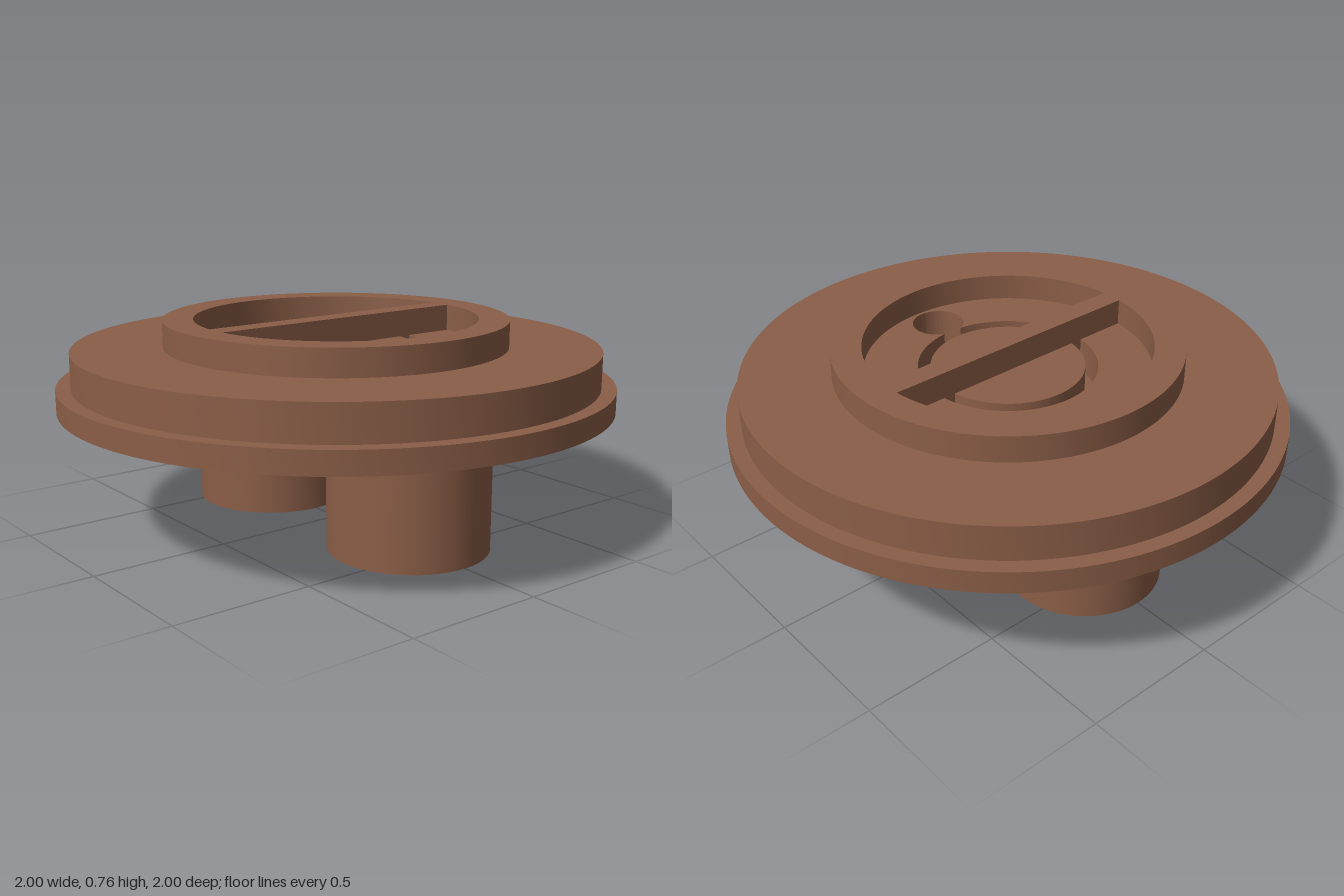
import * as THREE from 'three';
import { toCreasedNormals } from 'three/addons/utils/BufferGeometryUtils.js';

const LEG_X = 0.408, DRILL_X = 0.405, DRILL_R = 0.095, GROOVE_R = 0.32;

export function createModel() {
  const group = new THREE.Group();
  const brown = new THREE.MeshStandardMaterial({ color: 0x8b5e47 });
  brown.name = 'warm brown';

  const circle = (r, x = 0) => new THREE.Path().absarc(x, 0, r, 0, Math.PI * 2, false);

  // Upright slab from y0 to y1: a disc with optional holes
  function slab(name, r, y0, y1, holes = [], x = 0) {
    const shape = new THREE.Shape().absarc(0, 0, r, 0, Math.PI * 2, false);
    shape.holes.push(...holes);
    const extruded = new THREE.ExtrudeGeometry(shape, { depth: y1 - y0, bevelEnabled: false, curveSegments: 64 });
    extruded.rotateX(-Math.PI / 2);
    const mesh = new THREE.Mesh(toCreasedNormals(extruded, 0.6), brown);
    mesh.name = name;
    mesh.position.set(x, y0, 0);
    group.add(mesh);
  }

  // Groove outline merged with the drilled hole that just breaks into it
  const crossX = (GROOVE_R ** 2 - DRILL_R ** 2 + DRILL_X ** 2) / (2 * DRILL_X);
  const crossY = Math.sqrt(GROOVE_R ** 2 - crossX ** 2);
  const a = Math.atan2(crossY, crossX);
  const b = Math.atan2(crossY, crossX - DRILL_X);
  const grooveAndDrill = new THREE.Path()
    .absarc(0, 0, GROOVE_R, a, Math.PI * 2 - a, false)
    .absarc(DRILL_X, 0, DRILL_R, -b, b, false);

  // Stepped body
  slab('flange', 1, 0.453, 0.533, [circle(DRILL_R, DRILL_X)]);
  slab('deck', 0.947, 0.533, 0.66, [grooveAndDrill]);
  slab('grooveCore', 0.275, 0.533, 0.66);
  slab('raisedRing', 0.622, 0.66, 0.757, [circle(0.512)]);

  // Hollow legs
  for (const [name, x] of [['leftLeg', LEG_X], ['rightLeg', -LEG_X]]) {
    slab(name, 0.285, 0, 0.453, [circle(0.167)], x);
  }

  // Grip bar across the recess, reaching down through the groove
  const bar = new THREE.Mesh(new THREE.BoxGeometry(0.08, 0.224, 1.024), brown);
  bar.name = 'gripBar';
  bar.position.y = 0.645;
  group.add(bar);

  return group;
}
